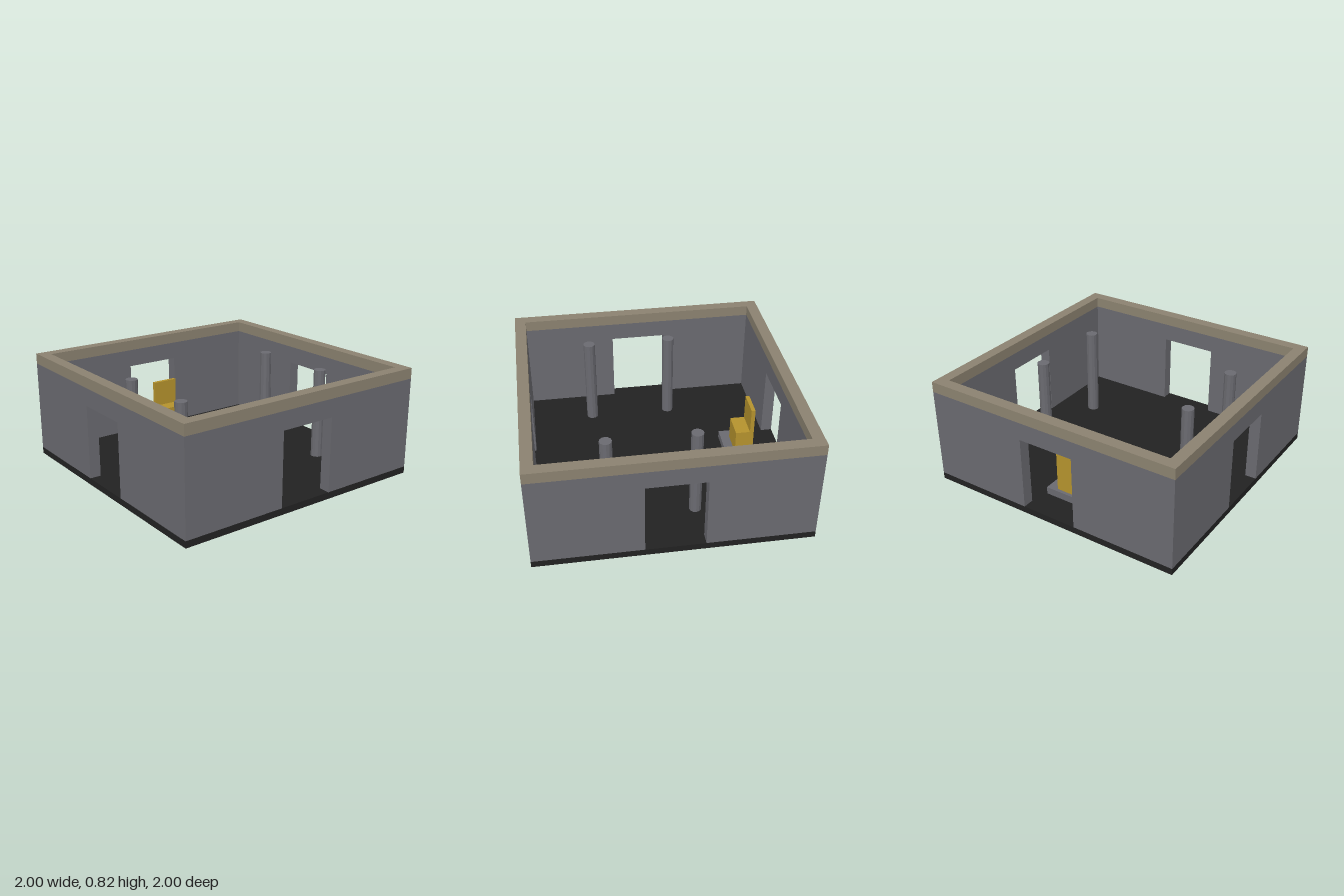
import * as THREE from 'three';

const mat = (name, color) => {
  const m = new THREE.MeshStandardMaterial({ color });
  m.name = name;
  return m;
};

const T = 0.085;          // wall thickness
const FLOOR = 0.05;       // top of the floor slab
const WALL_TOP = 0.74;
const TOP = 0.82;

export function createModel() {
  const stone = mat('grey stone', 0x6a6a70);
  const trim = mat('tan trim', 0x8b8270);
  const dark = mat('dark floor', 0x222222);
  const gold = mat('gold', 0xb5932d);
  dark.flatShading = stone.flatShading = true;

  const model = new THREE.Group();
  model.name = 'throneRoom';

  const add = (name, geometry, material, parent = model) => {
    const mesh = new THREE.Mesh(geometry, material);
    mesh.name = name;
    parent.add(mesh);
    return mesh;
  };
  // Box given by its minimum and maximum corners
  const box = (name, material, [x0, y0, z0], [x1, y1, z1], parent) =>
    add(name, new THREE.BoxGeometry(x1 - x0, y1 - y0, z1 - z0), material, parent)
      .position.set((x0 + x1) / 2, (y0 + y1) / 2, (z0 + z1) / 2);

  // Floor slab
  box('floor', dark, [-1, 0, -1], [1, FLOOR, 1]);

  // Wall with a doorway, extruded through its thickness
  const wallGeometry = (half) => {
    const s = new THREE.Shape();
    [[-half, FLOOR], [-0.215, FLOOR], [-0.215, 0.605], [0.215, 0.605], [0.215, FLOOR],
      [half, FLOOR], [half, WALL_TOP], [-half, WALL_TOP]]
      .forEach(([x, y], i) => (i ? s.lineTo(x, y) : s.moveTo(x, y)));
    return new THREE.ExtrudeGeometry(s, { depth: T, bevelEnabled: false }).translate(0, 0, 1 - T);
  };
  ['frontWall', 'leftWall', 'backWall', 'rightWall'].forEach((name, i) => {
    add(name, wallGeometry(i % 2 ? 1 - T : 1), stone).rotation.y = i * Math.PI / 2;
  });

  // Trim ring along the top of the walls
  const square = (path, r) => path.moveTo(-r, -r).lineTo(r, -r).lineTo(r, r).lineTo(-r, r).closePath();
  const ring = square(new THREE.Shape(), 1);
  ring.holes.push(square(new THREE.Path(), 1 - T));
  const ringGeometry = new THREE.ExtrudeGeometry(ring, { depth: TOP - WALL_TOP, bevelEnabled: false });
  add('wallTrim', ringGeometry.rotateX(-Math.PI / 2).translate(0, WALL_TOP, 0), trim);

  // Four columns
  const columnGeometry = new THREE.CylinderGeometry(0.045, 0.045, WALL_TOP - FLOOR, 12);
  for (const x of [-0.633, 0.633]) {
    for (const z of [-0.203, 0.43]) {
      add('column', columnGeometry, stone).position.set(x, (WALL_TOP + FLOOR) / 2, z);
    }
  }

  // Throne on its platform
  const throne = new THREE.Group();
  throne.name = 'throne';
  model.add(throne);
  box('platform', stone, [-0.18, FLOOR, -0.785], [0.18, 0.105, -0.55], throne);
  box('seat', gold, [-0.1, 0.105, -0.73], [0.1, 0.287, -0.62], throne);
  box('backrest', gold, [-0.1, 0.105, -0.76], [0.1, 0.485, -0.73], throne);

  return model;
}
